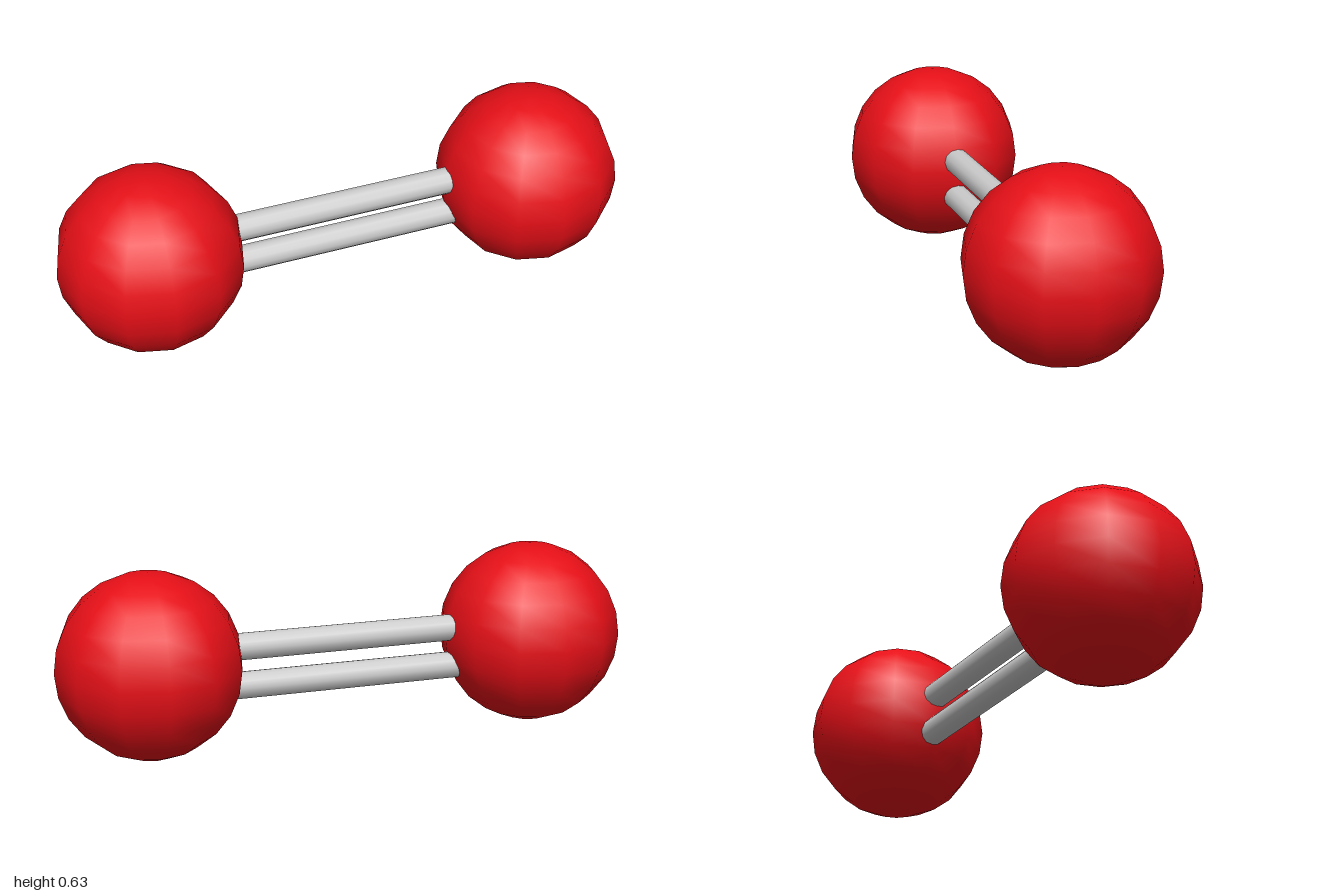
import * as THREE from 'three';

export function createModel() {
  const model = new THREE.Group();
  const red = new THREE.MeshStandardMaterial({ color: 0xe60f17 });
  const grey = new THREE.MeshStandardMaterial({ color: 0xcccccc });
  const R = 0.316, centreX = 1 - R;

  // Two atoms, smooth-shaded with a coarse outline
  const atomGeometry = new THREE.SphereGeometry(R, 12, 12);
  for (const [name, side] of [['leftAtom', 1], ['rightAtom', -1]]) {
    const atom = new THREE.Mesh(atomGeometry, red);
    atom.name = name;
    atom.position.set(side * centreX, R, 0);
    model.add(atom);
  }

  // Double bond: two parallel rods whose ends sink into the atoms
  const rodGeometry = new THREE.CylinderGeometry(0.047, 0.047, centreX * 2, 12).rotateZ(Math.PI / 2);
  for (const [name, y] of [['upperBond', 0.353], ['lowerBond', 0.218]]) {
    const rod = new THREE.Mesh(rodGeometry, grey);
    rod.name = name;
    rod.position.set(0, y, -0.002);
    model.add(rod);
  }
  return model;
}
